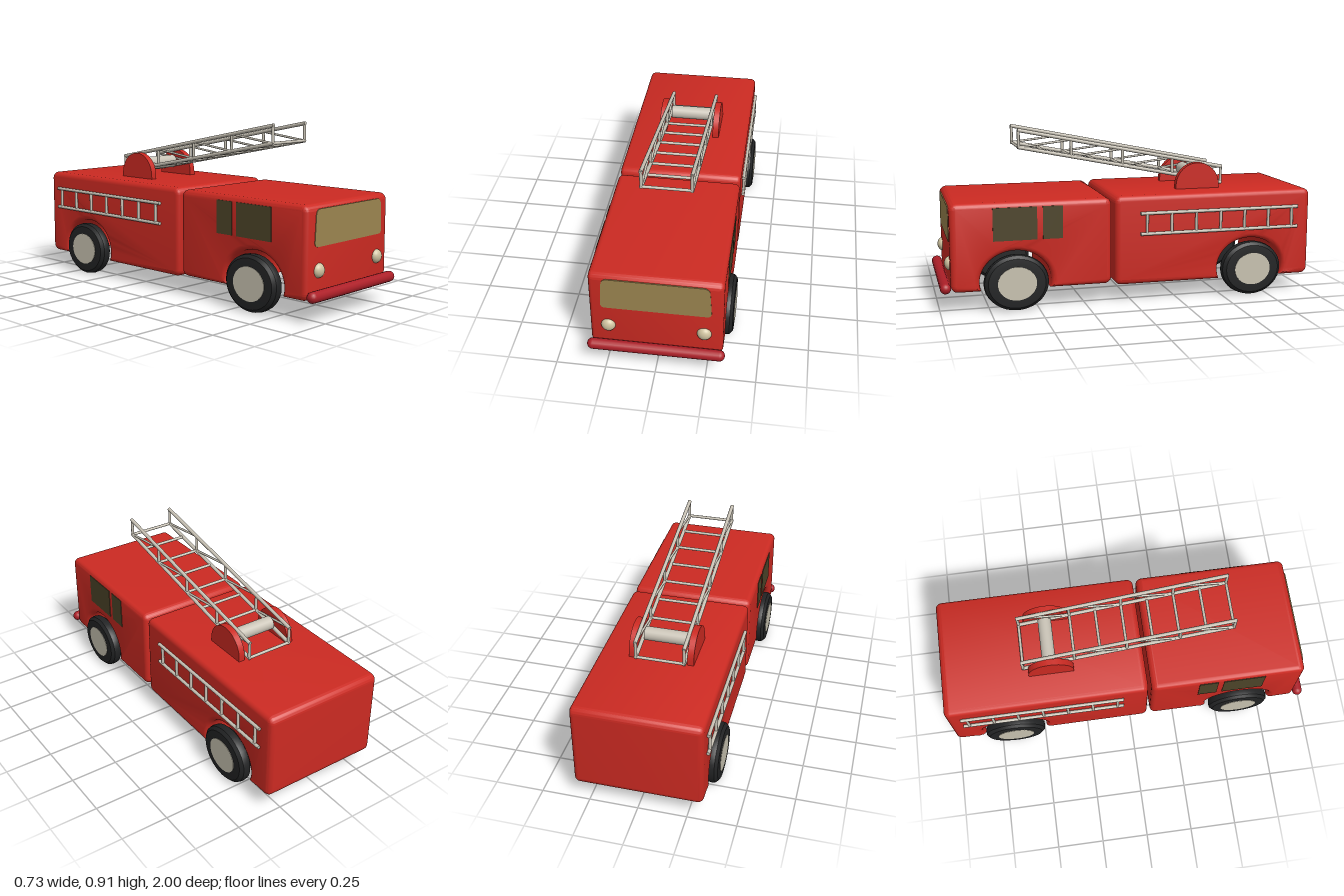
import * as THREE from 'three';
import { toCreasedNormals } from 'three/addons/utils/BufferGeometryUtils.js';

const mat = (name, color) => {
  const m = new THREE.MeshStandardMaterial({ color });
  m.name = name;
  return m;
};

export function createModel() {
  const red = mat('fire red', 0xcc2a22);
  const crimson = mat('bumper crimson', 0xad1f28);
  const steel = mat('ladder steel', 0xc9c3b6);
  const hubPaint = mat('hub cream', 0xc8c2b0);
  const rubber = mat('tyre black', 0x222324);
  const glass = mat('windscreen amber', 0x9c8550);
  const darkGlass = mat('side window olive', 0x4d4429);
  const lamp = mat('lamp cream', 0xcfc3a0);

  const truck = new THREE.Group();
  truck.name = 'fireTruck';

  const add = (parent, name, geometry, material, x = 0, y = 0, z = 0) => {
    const mesh = new THREE.Mesh(geometry, material);
    mesh.name = name;
    mesh.position.set(x, y, z);
    parent.add(mesh);
    return mesh;
  };
  const group = (name) => {
    const g = new THREE.Group();
    g.name = name;
    truck.add(g);
    return g;
  };
  // Round bar between two points
  const bar = (parent, name, a, b, r) => {
    const from = new THREE.Vector3(...a), to = new THREE.Vector3(...b);
    const dir = to.clone().sub(from);
    const mesh = add(parent, name, new THREE.CylinderGeometry(r, r, dir.length() + r, 10), steel);
    mesh.position.copy(from).add(to).multiplyScalar(0.5);
    mesh.quaternion.setFromUnitVectors(new THREE.Vector3(0, 1, 0), dir.normalize());
  };

  // Body shells: side profile with a wheel arch, extruded across the width
  const body = (name, front, back, bottom, top, wheelZ) => {
    const r = 0.036, b = 0.028, half = 0.328, axleY = 0.148, ry = 0.16;
    const u0 = -front, u1 = -back, t = Math.asin((bottom - axleY) / ry);
    const s = new THREE.Shape();
    s.moveTo(u0 + r, bottom);
    s.absellipse(-wheelZ, axleY, 0.185, ry, Math.PI - t, t, true);
    s.absarc(u1 - r, bottom + r, r, -Math.PI / 2, 0, false);
    s.absarc(u1 - r, top - r, r, 0, Math.PI / 2, false);
    s.absarc(u0 + r, top - r, r, Math.PI / 2, Math.PI, false);
    s.absarc(u0 + r, bottom + r, r, Math.PI, Math.PI * 1.5, false);
    const depth = 2 * (half - b);
    const g = new THREE.ExtrudeGeometry(s, {
      depth, curveSegments: 14, bevelThickness: b, bevelSize: b, bevelOffset: -b, bevelSegments: 5,
    });
    g.translate(0, 0, -depth / 2);
    g.rotateY(Math.PI / 2);
    add(truck, name, toCreasedNormals(g, 0.6), red);
  };
  body('cab', 0.945, 0.112, 0.105, 0.56, 0.615);
  body('rearBody', 0.095, -1, 0.092, 0.565, -0.66);

  // Windscreen: thin plate with rounded corners
  const screen = new THREE.Shape();
  screen.moveTo(-0.245, 0.358);
  screen.lineTo(0.245, 0.358);
  screen.quadraticCurveTo(0.272, 0.358, 0.27, 0.385);
  screen.lineTo(0.262, 0.51);
  screen.quadraticCurveTo(0.258, 0.538, 0.23, 0.538);
  screen.lineTo(-0.23, 0.538);
  screen.quadraticCurveTo(-0.258, 0.538, -0.262, 0.51);
  screen.lineTo(-0.27, 0.385);
  screen.quadraticCurveTo(-0.272, 0.358, -0.245, 0.358);
  add(truck, 'windscreen', new THREE.ExtrudeGeometry(screen, { depth: 0.006, bevelEnabled: false }), glass, 0, 0, 0.942);

  // Bumper
  const bumper = new THREE.CapsuleGeometry(0.028, 0.628, 6, 16);
  bumper.rotateZ(Math.PI / 2);
  add(truck, 'bumper', bumper, crimson, 0, 0.132, 0.972);

  // Wheel profile, spun around its axle
  const profile = [[0, -0.034], [0.1, -0.036], [0.128, -0.034], [0.143, -0.019], [0.146, 0],
    [0.143, 0.019], [0.128, 0.034], [0.1, 0.036], [0, 0.034]].map((p) => new THREE.Vector2(...p));
  const tyre = toCreasedNormals(new THREE.LatheGeometry(profile, 36).rotateZ(-Math.PI / 2), 0.5);
  const hub = new THREE.CylinderGeometry(0.087, 0.087, 0.008, 32).rotateZ(Math.PI / 2);

  for (const side of [1, -1]) {
    const label = side > 0 ? 'left' : 'right';

    // Wheels
    for (const [end, z] of [['Front', 0.615], ['Rear', -0.66]]) {
      const wheel = group(label + end + 'Wheel');
      wheel.position.set(side * 0.325, 0.146, z);
      wheel.scale.z = 1.15;
      add(wheel, 'tyre', tyre, rubber);
      add(wheel, 'hub', hub, hubPaint, side * 0.034);
    }

    // Headlight
    const light = add(truck, label + 'Headlight', new THREE.SphereGeometry(0.036, 24, 16), lamp, side * 0.236, 0.245, 0.943);
    light.scale.z = 0.75;

    // Side windows
    add(truck, label + 'FrontWindow', new THREE.BoxGeometry(0.006, 0.17, 0.226), darkGlass, side * 0.328, 0.449, 0.617);
    add(truck, label + 'RearWindow', new THREE.BoxGeometry(0.006, 0.17, 0.103), darkGlass, side * 0.328, 0.449, 0.423);

    // Ladder stowed on the flank
    const rack = group(label + 'SideLadder');
    const x = side * 0.336;
    for (const y of [0.363, 0.472]) bar(rack, 'rail', [x, y, -0.045], [x, y, -0.92], 0.009);
    for (let i = 0; i < 7; i++) {
      const z = -0.075 - i * 0.136;
      bar(rack, 'rung', [x, 0.363, z], [x, 0.472, z], 0.008);
    }

    // Rounded bracket holding the main ladder
    const plate = new THREE.Shape();
    plate.moveTo(-0.122, -0.03);
    plate.lineTo(0.122, -0.03);
    plate.absarc(0, 0, 0.122, 0, Math.PI, false);
    const bracket = new THREE.ExtrudeGeometry(plate, { depth: 0.034, bevelEnabled: false, curveSegments: 20 });
    bracket.translate(0, 0, -0.017).rotateY(Math.PI / 2);
    add(truck, label + 'LadderBracket', toCreasedNormals(bracket, 0.6), red, side * 0.151, 0.583, -0.408);
  }

  // Raised main ladder with trussed sides
  const ladder = group('mainLadder');
  const zFront = 0.562, zBack = -0.555;
  const zAt = (k) => THREE.MathUtils.lerp(zFront, zBack, k);
  const low = (x, k) => [x, THREE.MathUtils.lerp(0.813, 0.588, k), zAt(k)];
  const high = (x, k) => [x, THREE.MathUtils.lerp(0.902, 0.676, k), zAt(k)];
  for (const x of [-0.125, 0.125]) {
    bar(ladder, 'lowerRail', low(x, 0), low(x, 1), 0.01);
    bar(ladder, 'upperRail', high(x, 0), high(x, 1), 0.01);
    for (let i = 0; i <= 4; i++) {
      bar(ladder, 'post', low(x, i / 4), high(x, i / 4), 0.008);
      if (i < 4) bar(ladder, 'brace', low(x, i / 4), high(x, (i + 1) / 4), 0.006);
    }
  }
  for (let i = 0; i <= 8; i++) bar(ladder, 'rung', low(-0.125, i / 8), low(0.125, i / 8), 0.008);

  // Winch drum between the brackets
  const drum = new THREE.CylinderGeometry(0.036, 0.036, 0.225, 24).rotateZ(Math.PI / 2);
  add(truck, 'winchDrum', drum, steel, 0, 0.64, -0.412);

  return truck;
}
